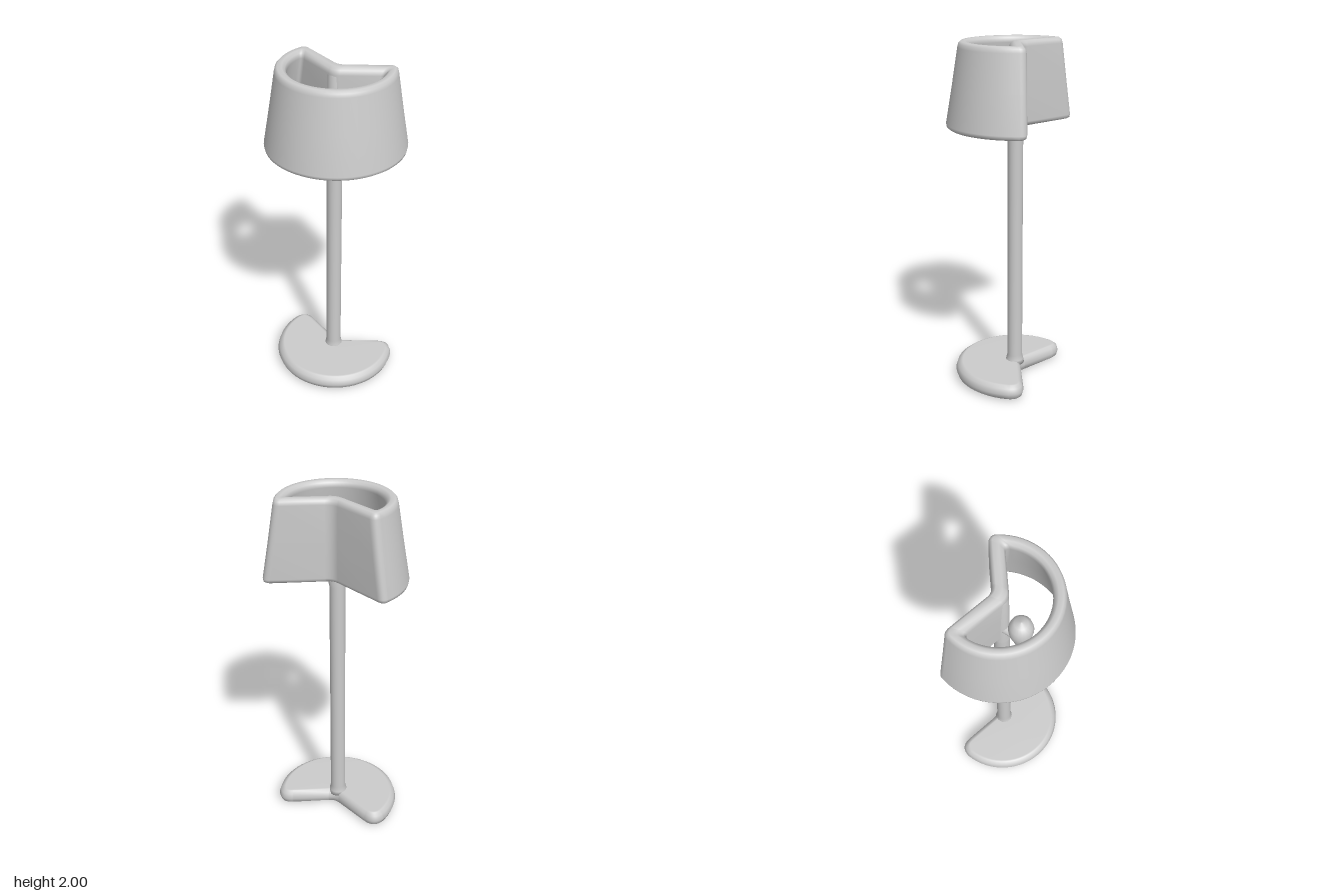
import * as THREE from 'three';

const CX = 0.07;                                        // centre of the round side
const NOTCH = new THREE.Vector2(0.1, 0);                // apex of the V-shaped notch
const FRONT = new THREE.Vector2(0.6, 0.8).normalize();  // notch edge directions (x, z)
const BACK = new THREE.Vector2(0.275, -0.96).normalize();

// Notched-circle outline: radius R, notch edges moved inward by d, corners rounded by r
function outline(R, d, r) {
  const apex = new THREE.Vector2(NOTCH.x - 1.1 * d, NOTCH.y + 0.2 * d);
  const along = (p, dir, t) => p.clone().addScaledVector(dir, t);
  const corner = (dir) => {
    const rel = apex.clone().sub(new THREE.Vector2(CX, 0));
    const b = rel.dot(dir);
    return along(apex, dir, -b + Math.sqrt(b * b - rel.lengthSq() + R * R));
  };
  const c1 = corner(FRONT), c2 = corner(BACK);
  const a1 = Math.atan2(c1.y, c1.x - CX) + r / R;
  const a2 = Math.atan2(c2.y, c2.x - CX) + 2 * Math.PI - r / R;
  const start = along(apex, FRONT, 0.04), lineEnd = along(c1, FRONT, -r);
  const lineBack = along(c2, BACK, -r), apexBack = along(apex, BACK, 0.04);

  const s = new THREE.Shape();
  s.moveTo(start.x, start.y);
  s.lineTo(lineEnd.x, lineEnd.y);
  s.quadraticCurveTo(c1.x, c1.y, CX + R * Math.cos(a1), R * Math.sin(a1));
  s.absarc(CX, 0, R, a1, a2, false);
  s.quadraticCurveTo(c2.x, c2.y, lineBack.x, lineBack.y);
  s.lineTo(apexBack.x, apexBack.y);
  s.quadraticCurveTo(apex.x, apex.y, start.x, start.y);
  const pts = s.getPoints(20);
  pts.pop();                                            // closing point repeats the first
  return pts;
}

// Skin a list of [R, d, r, y] rings; closed joins last to first, otherwise ends are capped
function loft(rings, closed) {
  const pos = [], index = [];
  let n = 0;
  for (const [R, d, r, y] of rings) {
    const pts = outline(R, d, r);
    n = pts.length;
    for (const p of pts) pos.push(p.x, y, p.y);
  }
  const m = rings.length;
  for (let i = 0; i < (closed ? m : m - 1); i++) {
    for (let j = 0; j < n; j++) {
      const k = (j + 1) % n, u = ((i + 1) % m) * n;
      const a = i * n + j, b = u + j, c = u + k, e = i * n + k;
      index.push(a, b, c, a, c, e);
    }
  }
  if (!closed) {
    const bottom = pos.length / 3, top = bottom + 1, last = (m - 1) * n;
    pos.push(-0.06, rings[0][3], 0, -0.06, rings[m - 1][3], 0);
    for (let j = 0; j < n; j++) {
      const k = (j + 1) % n;
      index.push(bottom, j, k, top, last + k, last + j);
    }
  }
  const g = new THREE.BufferGeometry();
  g.setAttribute('position', new THREE.Float32BufferAttribute(pos, 3));
  g.setIndex(index);
  g.computeVertexNormals();
  return g;
}

const lathe = (profile, seg) =>
  new THREE.LatheGeometry(profile.map(([r, y]) => new THREE.Vector2(r, y)), seg);

export function createModel() {
  const group = new THREE.Group();
  const mat = new THREE.MeshStandardMaterial({ color: 0xcccccc });
  const add = (name, geo, x = 0, y = 0, z = 0) => {
    const mesh = new THREE.Mesh(geo, mat);
    mesh.name = name;
    mesh.position.set(x, y, z);
    group.add(mesh);
    return mesh;
  };

  // Flat notched foot with a rounded rim
  add('base', loft([
    [0.325, 0.035, 0.05, 0],
    [0.335, 0.025, 0.06, 0.002],
    [0.355, 0.008, 0.08, 0.016],
    [0.365, 0, 0.09, 0.045],
    [0.355, 0.008, 0.08, 0.075],
    [0.335, 0.025, 0.06, 0.09],
    [0.325, 0.035, 0.05, 0.092],
  ], false));

  // Stem, slightly flared where it meets the base and shade
  add('stem', lathe([
    [0, 0.05], [0.056, 0.07], [0.052, 0.095], [0.045, 0.125],
    [0.044, 0.8], [0.044, 1.49], [0.052, 1.53], [0.042, 1.56],
    [0.04, 1.95], [0, 1.97],
  ], 20), 0.058);

  // Hollow tapered shade, open above and below, wall running round the notch
  add('shade', loft([
    [0.382, 0.012, 0.03, 1.527],
    [0.393, 0, 0.035, 1.535],
    [0.396, -0.005, 0.04, 1.552],
    [0.36, -0.005, 0.04, 1.76],
    [0.327, -0.004, 0.04, 1.965],
    [0.322, 0.002, 0.035, 1.985],
    [0.31, 0.015, 0.03, 1.997],
    [0.285, 0.045, 0.025, 1.997],
    [0.268, 0.066, 0.025, 1.985],
    [0.26, 0.075, 0.025, 1.96],
    [0.305, 0.07, 0.025, 1.76],
    [0.348, 0.064, 0.025, 1.552],
    [0.352, 0.058, 0.025, 1.535],
    [0.362, 0.045, 0.025, 1.527],
  ], true));

  // Bulb beside the stem, held by a short arm
  add('bulb', lathe([
    [0, 1.58], [0.024, 1.585], [0.036, 1.61], [0.046, 1.66], [0.06, 1.71],
    [0.066, 1.76], [0.058, 1.8], [0.036, 1.828], [0, 1.84],
  ], 20), -0.065, 0, -0.01);
  const arm = add('bulbArm', new THREE.CylinderGeometry(0.028, 0.028, 0.13, 14), 0, 1.64, -0.005);
  arm.rotation.z = Math.PI / 2;

  return group;
}
